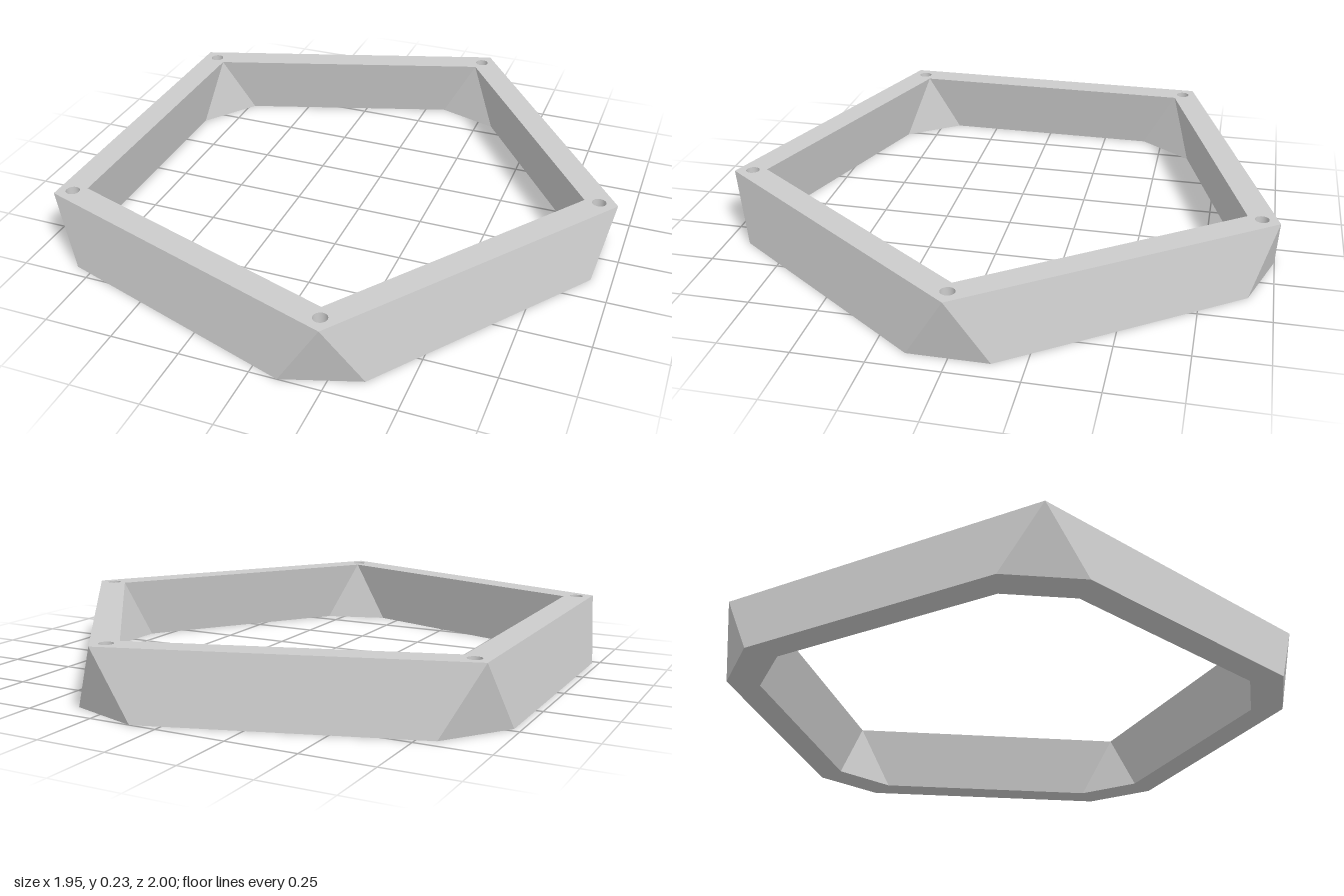
import * as THREE from 'three';

const H = 0.235, CX = -0.08;          // height, ring centre
const R_TOP = 1.0515, R_BOTTOM = 1.0155; // outer corner radii
const INNER = 0.887;                  // inner outline as a scale of the outer one
const STEP = Math.PI * 2 / 5, SPREAD = 0.138; // half angle of a split bottom corner
const HOLE_R = 0.025, HOLE_DEPTH = 0.1, HOLE_AT = 0.985;

export function createModel() {
  const group = new THREE.Group();
  group.name = 'pentagonFrame';
  const grey = new THREE.MeshStandardMaterial({ color: 0xcccccc, flatShading: true });
  const smooth = new THREE.MeshStandardMaterial({ color: 0xcccccc, side: THREE.BackSide });
  const add = (name, geometry, material = grey) => {
    const mesh = new THREE.Mesh(geometry, material);
    mesh.name = name;
    group.add(mesh);
    return mesh;
  };
  const flat = (r, a) => new THREE.Vector2(CX + r * Math.cos(a), r * Math.sin(a));
  const corners = [0, 1, 2, 3, 4].map(k => k * STEP);
  const topOutline = s => corners.map(a => flat(R_TOP * s, a));
  const bottomOutline = s => corners.flatMap(a =>
    [flat(R_BOTTOM * s, a - SPREAD), flat(R_BOTTOM * s, a + SPREAD)]);

  // Top face: pentagonal band with a round hole at each corner
  const top = new THREE.Shape(topOutline(1));
  top.holes.push(new THREE.Path(topOutline(INNER)));
  for (const a of corners) {
    const c = flat(HOLE_AT, a);
    top.holes.push(new THREE.Path().absarc(c.x, c.y, HOLE_R, 0, Math.PI * 2, true));
  }
  add('topFace', new THREE.ShapeGeometry(top, 16).rotateX(-Math.PI / 2).translate(0, H, 0));

  // Bottom face: ten-sided band
  const bottom = new THREE.Shape(bottomOutline(1));
  bottom.holes.push(new THREE.Path(bottomOutline(INNER)));
  add('bottomFace', new THREE.ShapeGeometry(bottom).rotateX(Math.PI / 2));

  // Walls: a triangle at each corner and a leaning panel along each side
  const wall = (s, inward) => {
    const t = topOutline(s).map(p => [p.x, H, p.y]);
    const b = bottomOutline(s).map(p => [p.x, 0, p.y]);
    const positions = [];
    const tri = (p, q, r) => positions.push(...p, ...(inward ? r : q), ...(inward ? q : r));
    for (let k = 0; k < 5; k++) {
      const n = (k + 1) % 5;
      tri(t[k], b[2 * k + 1], b[2 * k]);
      tri(t[k], t[n], b[2 * n]);
      tri(t[k], b[2 * n], b[2 * k + 1]);
    }
    const geometry = new THREE.BufferGeometry();
    geometry.setAttribute('position', new THREE.Float32BufferAttribute(positions, 3));
    geometry.computeVertexNormals();
    return geometry;
  };
  add('outerWall', wall(1, false));
  add('innerWall', wall(INNER, true));

  // Blind holes: bore and floor
  for (const a of corners) {
    const c = flat(HOLE_AT, a);
    add('holeBore', new THREE.CylinderGeometry(HOLE_R, HOLE_R, HOLE_DEPTH, 32, 1, true), smooth)
      .position.set(c.x, H - HOLE_DEPTH / 2, c.y);
    add('holeFloor', new THREE.CircleGeometry(HOLE_R, 32).rotateX(-Math.PI / 2))
      .position.set(c.x, H - HOLE_DEPTH, c.y);
  }
  return group;
}
